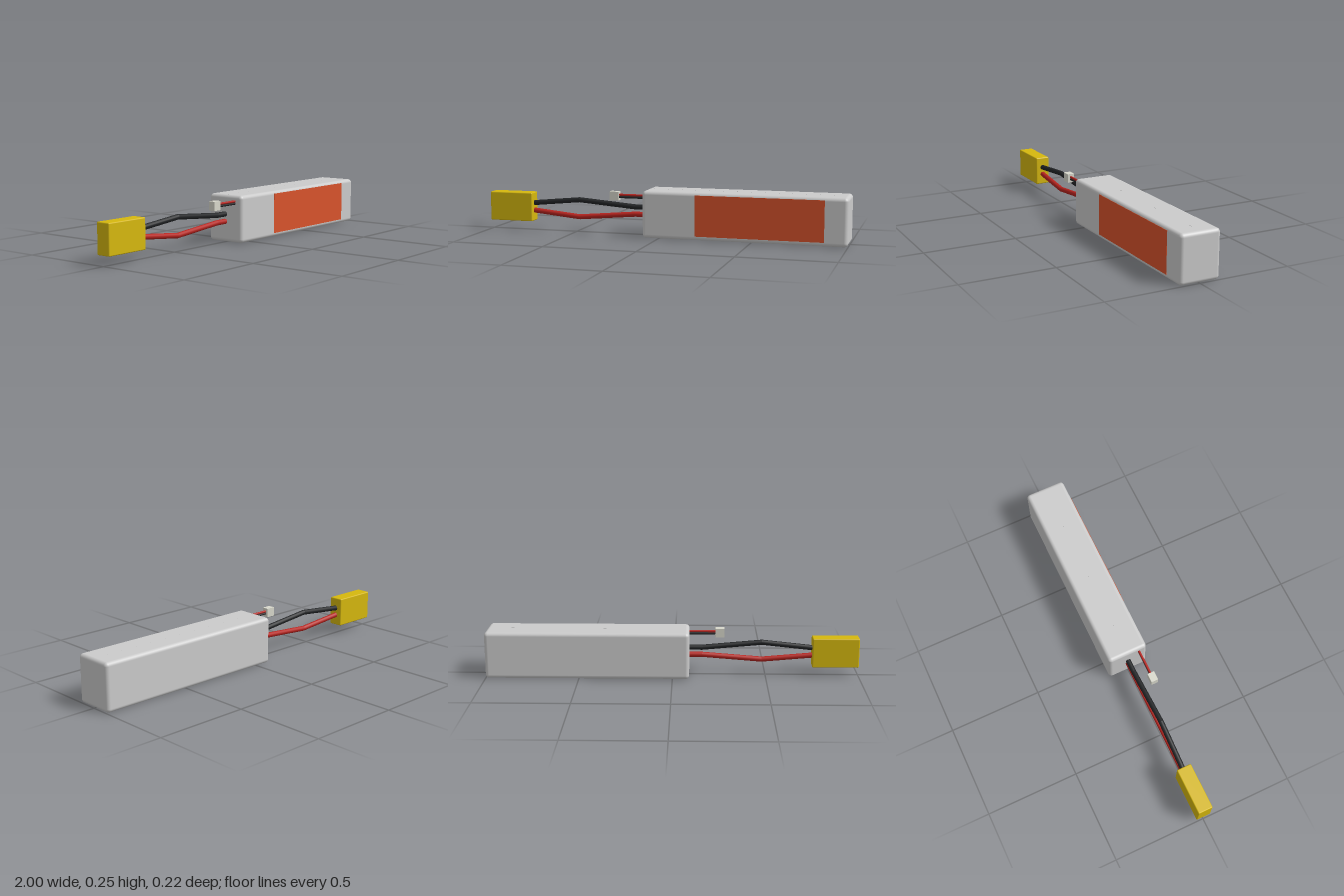
import * as THREE from 'three';
import { RoundedBoxGeometry } from 'three/addons/geometries/RoundedBoxGeometry.js';

const paint = (color) => new THREE.MeshStandardMaterial({ color });

export function createModel() {
  const model = new THREE.Group();
  const grey = paint(0xcccccc);
  const black = paint(0x222426);
  const red = paint(0xb8241f);
  const yellow = paint(0xd6b80e);
  const orange = paint(0xd9532c);

  function add(name, geometry, material, x, y, z, parent = model) {
    const mesh = new THREE.Mesh(geometry, material);
    mesh.name = name;
    mesh.position.set(x, y, z);
    parent.add(mesh);
    return mesh;
  }

  // Wire made of straight runs with rounded joints
  function addWire(name, points, radius, material) {
    const wire = new THREE.Group();
    wire.name = name;
    const path = points.map((p) => new THREE.Vector3(...p));
    for (let i = 1; i < path.length; i++) {
      const a = path[i - 1], b = path[i];
      const dir = b.clone().sub(a);
      const mid = a.clone().lerp(b, 0.5);
      const run = add(name + 'Run', new THREE.CylinderGeometry(radius, radius, dir.length(), 14, 1),
        material, mid.x, mid.y, mid.z, wire);
      run.quaternion.setFromUnitVectors(new THREE.Vector3(0, 1, 0), dir.normalize());
      if (i < path.length - 1) {
        add(name + 'Joint', new THREE.SphereGeometry(radius, 14, 10), material, b.x, b.y, b.z, wire);
      }
    }
    model.add(wire);
  }

  // Battery pack with a wrap seam along the top and bottom
  add('packBody', new RoundedBoxGeometry(1.09, 0.253, 0.22, 4, 0.02), grey, 0.455, 0.1265, 0);
  for (const [name, y] of [['topSeam', 0.2526], ['bottomSeam', 0.0004]]) {
    add(name, new THREE.BoxGeometry(1.04, 0.001, 0.002), grey, 0.455, y, 0);
  }

  // Label on the front face
  add('frontLabel', new THREE.BoxGeometry(0.68, 0.218, 0.002), orange, 0.54, 0.13, 0.11);

  // Main power connector
  add('powerConnector', new RoundedBoxGeometry(0.25, 0.16, 0.08, 2, 0.006), yellow, -0.875, 0.13, 0);

  // Main power leads, bowing apart between pack and connector
  for (const [name, material, endY, midY] of [
    ['negativeLead', black, 0.15, 0.178],
    ['positiveLead', red, 0.11, 0.083],
  ]) {
    addWire(name, [[-0.08, endY, 0], [-0.16, endY, 0], [-0.48, midY, 0.006], [-0.76, endY, 0]], 0.014, material);
  }

  // Balance plug and its thin leads
  add('balancePlug', new THREE.BoxGeometry(0.05, 0.048, 0.038), paint(0xd8d8cc), -0.255, 0.216, 0.064);
  addWire('balanceLeadRed', [[-0.235, 0.222, 0.064], [-0.08, 0.222, 0.064]], 0.006, red);
  addWire('balanceLeadBlack', [[-0.235, 0.21, 0.064], [-0.08, 0.21, 0.064]], 0.006, black);

  return model;
}
